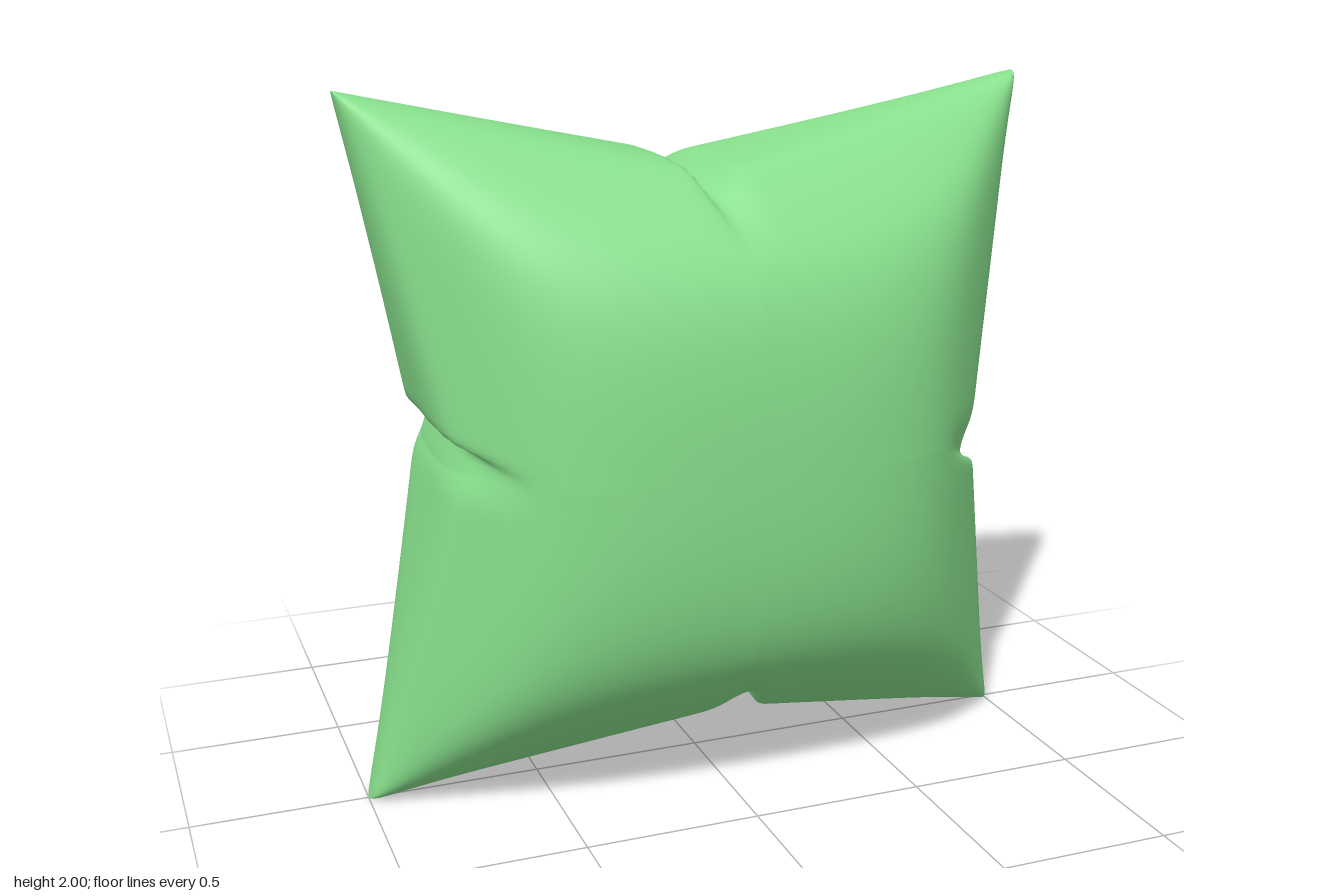
import * as THREE from 'three';
import { mergeGeometries, mergeVertices } from 'three/addons/utils/BufferGeometryUtils.js';

const PINCH = 0.215;  // how far the middle of each side is drawn in
const DEPTH = 0.555;  // half thickness at the centre
const { smoothstep } = THREE.MathUtils;

// Spacing that is dense near the side creases and near the seam
const spread = (s) => Math.sign(s) * (1 - Math.pow(Math.max(0, 1 - Math.pow(Math.abs(s), 1.6)), 3.2));

// Inflated four-cornered cushion: u, v in [-1, 1], returns a point on the front sheet
function inflate(u, v) {
  const a = Math.abs(u), b = Math.abs(v);
  // Straight pinched edges, softened towards the middle of the sheet
  const fa = Math.pow(a, 1 + 0.9 * (1 - b)), fb = Math.pow(b, 1 + 0.9 * (1 - a));
  const k = (1 - PINCH) / (1 - PINCH * PINCH * fa * fb);
  const x = u * k * (1 + PINCH * fb), y = v * k * (1 + PINCH * fa);
  // Domed face, steep walls at mid-side, round cones with blunt tips at the corners
  const c = a * b;
  const fill = Math.max(0, (1 - Math.pow(a, 2.4)) * (1 - Math.pow(b, 2.4)));
  const z = DEPTH * Math.pow(fill, 0.25 + 0.3 * c - 0.2 * Math.pow(c, 8));
  // Sloping shoulders: soft limit that narrows the thickness towards the outer ends
  const limit = (d) => Math.pow(z / (0.04 + 1.05 * (1 - Math.abs(d))), 12);
  return new THREE.Vector3(x, y, z * Math.pow(1 + limit(x) + limit(y), -1 / 12));
}

// Tucked crease: t runs along the side, n points out of it
function crease(t, n, z) {
  const centre = -0.08 * (1 - Math.min(1, (z / 0.42) ** 2));
  const q = t - centre;
  const weight = smoothstep(n, 0.48, 0.68) * (1 - smoothstep(z, 0.15, 0.5));
  const k = weight * Math.exp(-((q / (q < 0 ? 0.035 : 0.06)) ** 2));
  return [t - 0.035 * k, n - 0.055 * k];
}

function sheet(side) {
  const geo = new THREE.PlaneGeometry(2, 2, 140, 140);
  const pos = geo.attributes.position;
  for (let i = 0; i < pos.count; i++) {
    const p = inflate(spread(pos.getX(i)), spread(pos.getY(i)));
    for (const s of [1, -1]) {
      // top and bottom, then right and left
      let [t, n] = crease(s * p.x, s * p.y, p.z);
      p.x = s * t; p.y = s * n;
      [t, n] = crease(s * p.y, s * p.x, p.z);
      p.y = s * t; p.x = s * n;
    }
    pos.setXYZ(i, p.x, p.y + 1, side * p.z);
  }
  if (side < 0) geo.setIndex(Array.from(geo.index.array).reverse());
  geo.deleteAttribute('uv');
  geo.deleteAttribute('normal');
  return geo;
}

export function createModel() {
  const group = new THREE.Group();
  group.name = 'cushion';
  // Front and back sheets welded along the seam
  const geo = mergeVertices(mergeGeometries([sheet(1), sheet(-1)]), 1e-6);
  geo.computeVertexNormals();
  const body = new THREE.Mesh(geo, new THREE.MeshStandardMaterial({ color: 0x88e08c }));
  body.name = 'inflatedBody';
  group.add(body);
  return group;
}
